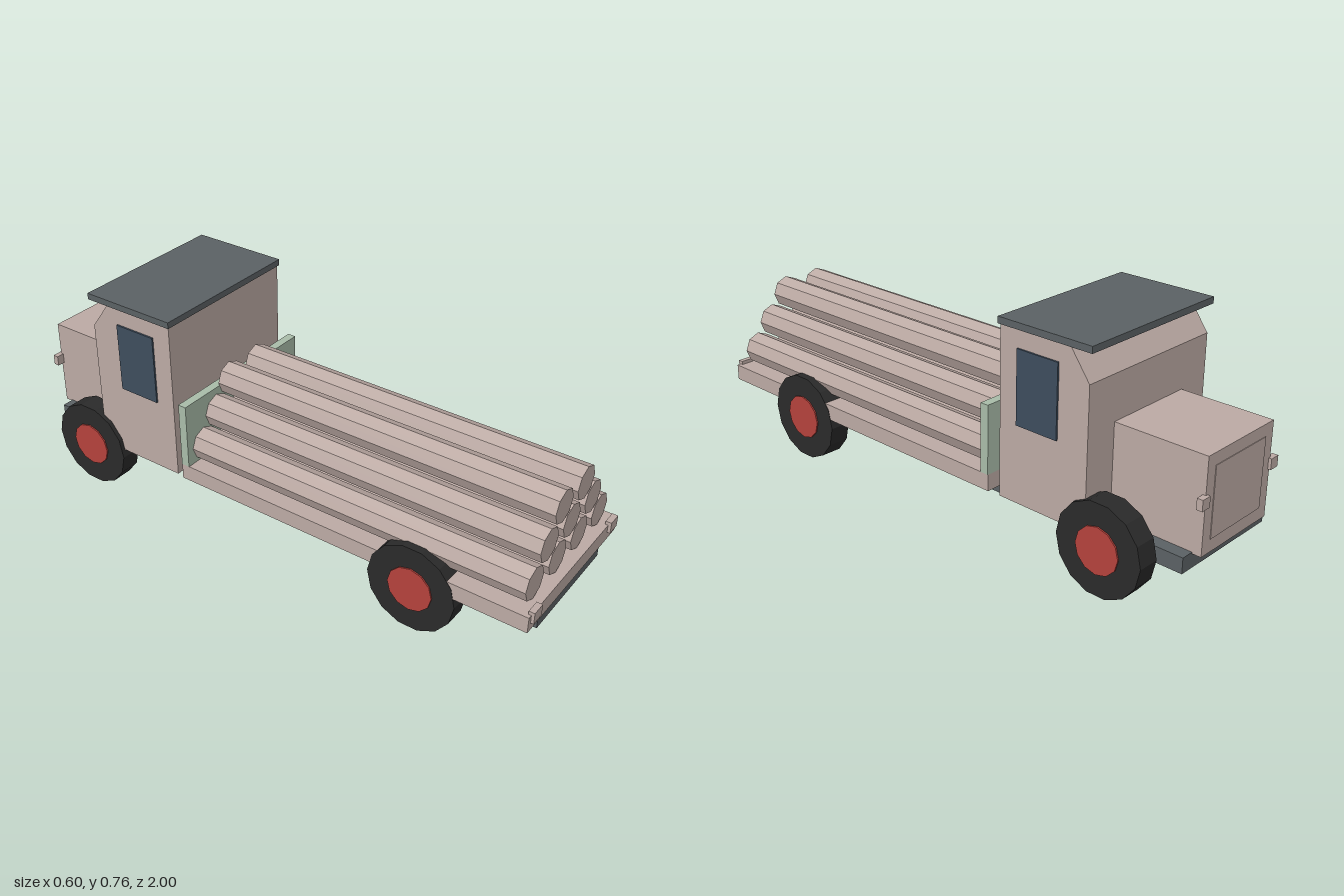
import * as THREE from 'three';

const mat = (name, color) => {
  const m = new THREE.MeshStandardMaterial({ color });
  m.name = name;
  return m;
};

export function createModel() {
  const truck = new THREE.Group();
  truck.name = 'logTruck';
  const wood = mat('dusty beige', 0xbcaaa4);
  const grey = mat('slate grey', 0x5b6164);
  const green = mat('pale green', 0xa9bca9);
  const black = mat('tyre black', 0x2a2a2a);
  const red = mat('hub red', 0xb5423c);
  const glass = mat('dark blue glass', 0x3e4d5d);

  const add = (name, geometry, material, x = 0, y = 0, z = 0) => {
    const mesh = new THREE.Mesh(geometry, material);
    mesh.name = name;
    mesh.position.set(x, y, z);
    truck.add(mesh);
    return mesh;
  };
  // Box given by its limits on each axis
  const box = (name, material, x0, x1, y0, y1, z0, z1) =>
    add(name, new THREE.BoxGeometry(x1 - x0, y1 - y0, z1 - z0), material,
      (x0 + x1) / 2, (y0 + y1) / 2, (z0 + z1) / 2);

  // Chassis, load bed and headboard
  box('chassis', grey, -0.207, 0.207, 0.13, 0.182, -0.96, 0.98);
  box('bed', wood, -0.296, 0.296, 0.182, 0.238, -0.3, 0.99);
  box('headboard', green, -0.297, 0.297, 0.238, 0.47, -0.3, -0.27);

  // Cab: side profile with a sloping upper front, extruded across the width
  const profile = new THREE.Shape(
    [[0.335, 0.175], [0.67, 0.175], [0.67, 0.64], [0.6, 0.735], [0.335, 0.735]]
      .map(([x, y]) => new THREE.Vector2(x, y)));
  const cabGeo = new THREE.ExtrudeGeometry(profile, { depth: 0.564, bevelEnabled: false });
  cabGeo.translate(0, 0, -0.282);
  cabGeo.rotateY(Math.PI / 2);
  add('cab', cabGeo, wood);
  box('roof', grey, -0.288, 0.288, 0.735, 0.757, -0.68, -0.33);
  box('hood', wood, -0.163, 0.163, 0.177, 0.49, -0.99, -0.66);
  box('grille', wood, -0.125, 0.125, 0.22, 0.45, -0.992, -0.985);

  // Mirrored windows and lamps
  for (const s of [-1, 1]) {
    const side = s > 0 ? 'left' : 'right';
    add(side + 'Window', new THREE.BoxGeometry(0.008, 0.242, 0.155), glass, s * 0.284, 0.556, -0.482);
    add(side + 'Headlight', new THREE.BoxGeometry(0.036, 0.036, 0.02), wood, s * 0.173, 0.353, -0.99);
    add(side + 'TailLight', new THREE.BoxGeometry(0.049, 0.04, 0.02), wood, s * 0.257, 0.23, 0.99);

    // Wheels: tyre with a hub running slightly proud of it
    for (const [end, z] of [['rear', 0.6], ['front', -0.73]]) {
      const tyreGeo = new THREE.CylinderGeometry(0.154, 0.154, 0.075, 14).toNonIndexed();
      const hubGeo = new THREE.CylinderGeometry(0.078, 0.078, 0.08, 12).toNonIndexed();
      for (const g of [tyreGeo, hubGeo]) {
        g.rotateZ(Math.PI / 2);
        g.computeVertexNormals();
      }
      add(`${end}${side}Tyre`, tyreGeo, black, s * 0.2597, 0.15, z);
      add(`${end}${side}Hub`, hubGeo, red, s * 0.262, 0.15, z);
    }
  }

  // Stacked octagonal logs, four, three and two to a row
  const logGeo = new THREE.CylinderGeometry(0.057, 0.057, 1.23, 8).toNonIndexed();
  logGeo.rotateX(Math.PI / 2);
  logGeo.computeVertexNormals();
  [4, 3, 2].forEach((count, row) => {
    for (let i = 0; i < count; i++) {
      add('log', logGeo, wood, (i - (count - 1) / 2) * 0.143, 0.296 + row * 0.093, 0.345);
    }
  });
  return truck;
}
